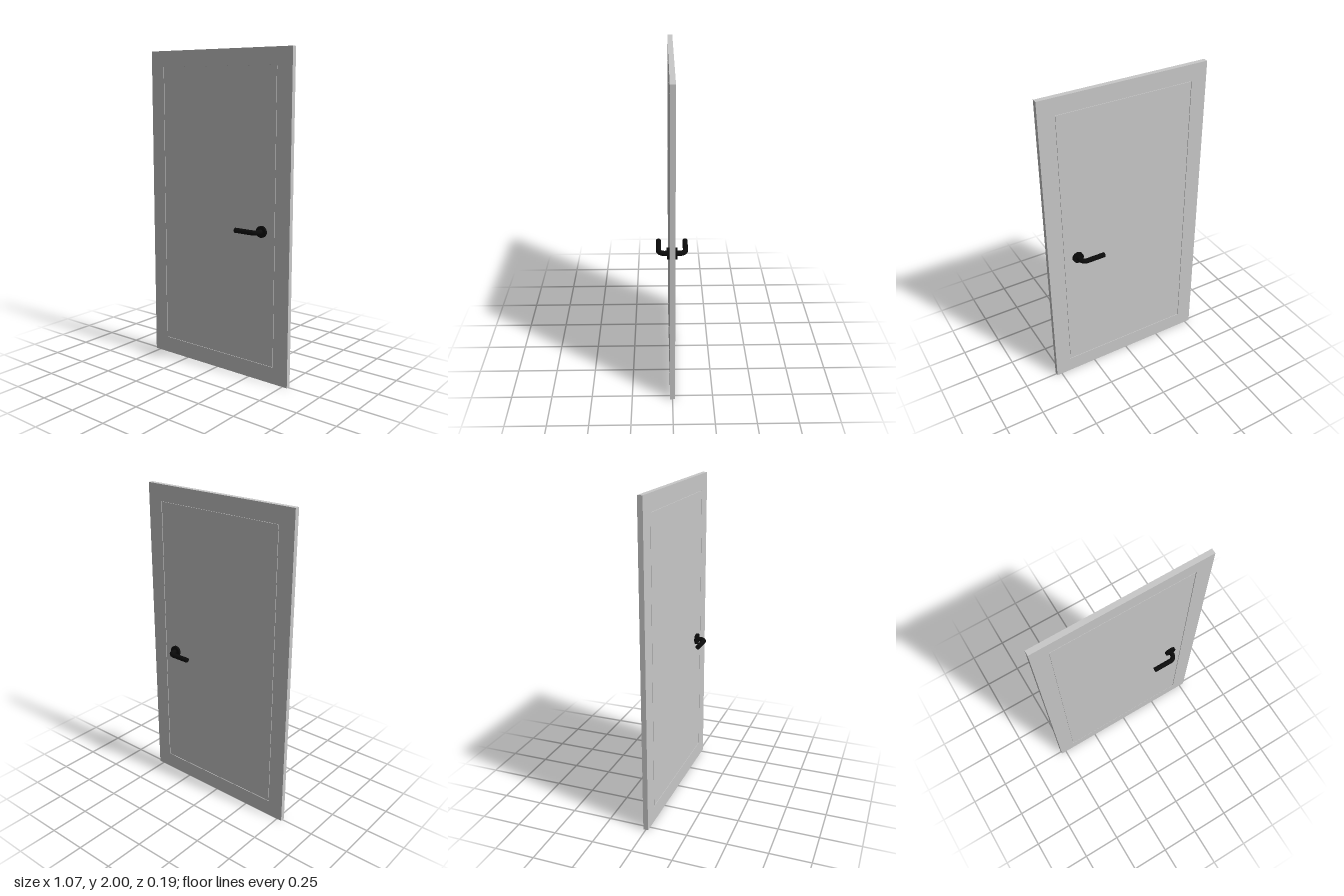
import * as THREE from 'three';

export function createModel() {
  const door = new THREE.Group();
  door.name = 'door';
  const paint = new THREE.MeshStandardMaterial({ color: 0xc9c9c9 });
  paint.name = 'grey paint';
  const metal = new THREE.MeshStandardMaterial({ color: 0x0b0b0b });
  metal.name = 'black metal';

  const add = (parent, name, geometry, material, x = 0, y = 0, z = 0) => {
    const mesh = new THREE.Mesh(geometry, material);
    mesh.name = name;
    mesh.position.set(x, y, z);
    parent.add(mesh);
    return mesh;
  };

  const W = 1.067, H = 2, T = 0.031; // leaf size
  const px = 0.433, y0 = 0.105, y1 = 1.9; // panel opening
  const gap = 0.004, depth = 0.004; // groove around the panel

  // Outer frame with a rectangular opening
  const outline = new THREE.Shape([
    new THREE.Vector2(-W / 2, 0), new THREE.Vector2(W / 2, 0),
    new THREE.Vector2(W / 2, H), new THREE.Vector2(-W / 2, H),
  ]);
  outline.holes.push(new THREE.Path([
    new THREE.Vector2(-px, y0), new THREE.Vector2(-px, y1),
    new THREE.Vector2(px, y1), new THREE.Vector2(px, y0),
  ]));
  const frame = new THREE.ExtrudeGeometry(outline, { depth: T, bevelEnabled: false });
  add(door, 'frame', frame, paint, 0, 0, -T / 2);

  // Panel flush with the frame, and the groove floor behind it
  const ph = y1 - y0, cy = (y0 + y1) / 2;
  add(door, 'panel', new THREE.BoxGeometry(2 * (px - gap), ph - 2 * gap, T), paint, 0, cy, 0);
  add(door, 'grooveFloor', new THREE.BoxGeometry(2 * px, ph, T - 2 * depth), paint, 0, cy, 0);

  // Lever handle, one on each face
  const bend = 0.035, reach = 0.0795, tip = -0.151, r = 0.0155;
  const path = new THREE.CurvePath();
  const v = (x, z) => new THREE.Vector3(x, 0, z);
  path.add(new THREE.LineCurve3(v(0, 0.01), v(0, reach - bend)));
  path.add(new THREE.CubicBezierCurve3(
    v(0, reach - bend), v(0, reach - bend * 0.448),
    v(-bend * 0.448, reach), v(-bend, reach)));
  path.add(new THREE.LineCurve3(v(-bend, reach), v(tip, reach)));

  for (const side of [1, -1]) {
    const handle = new THREE.Group();
    handle.name = side > 0 ? 'frontHandle' : 'backHandle';
    handle.position.set(0.341, 0.934, 0);
    door.add(handle);

    const rose = add(handle, 'rose', new THREE.CylinderGeometry(0.035, 0.035, 0.021, 32), metal, 0, 0, side * 0.0205);
    rose.rotation.x = Math.PI / 2;

    // Turning the lever about x carries it to the other face
    const lever = add(handle, 'lever', new THREE.TubeGeometry(path, 48, r, 20), metal);
    const cap = add(handle, 'leverEnd', new THREE.CircleGeometry(r, 20), metal, tip, 0, side * reach);
    cap.rotation.y = -Math.PI / 2;
    if (side < 0) lever.rotation.x = Math.PI;
  }

  return door;
}
